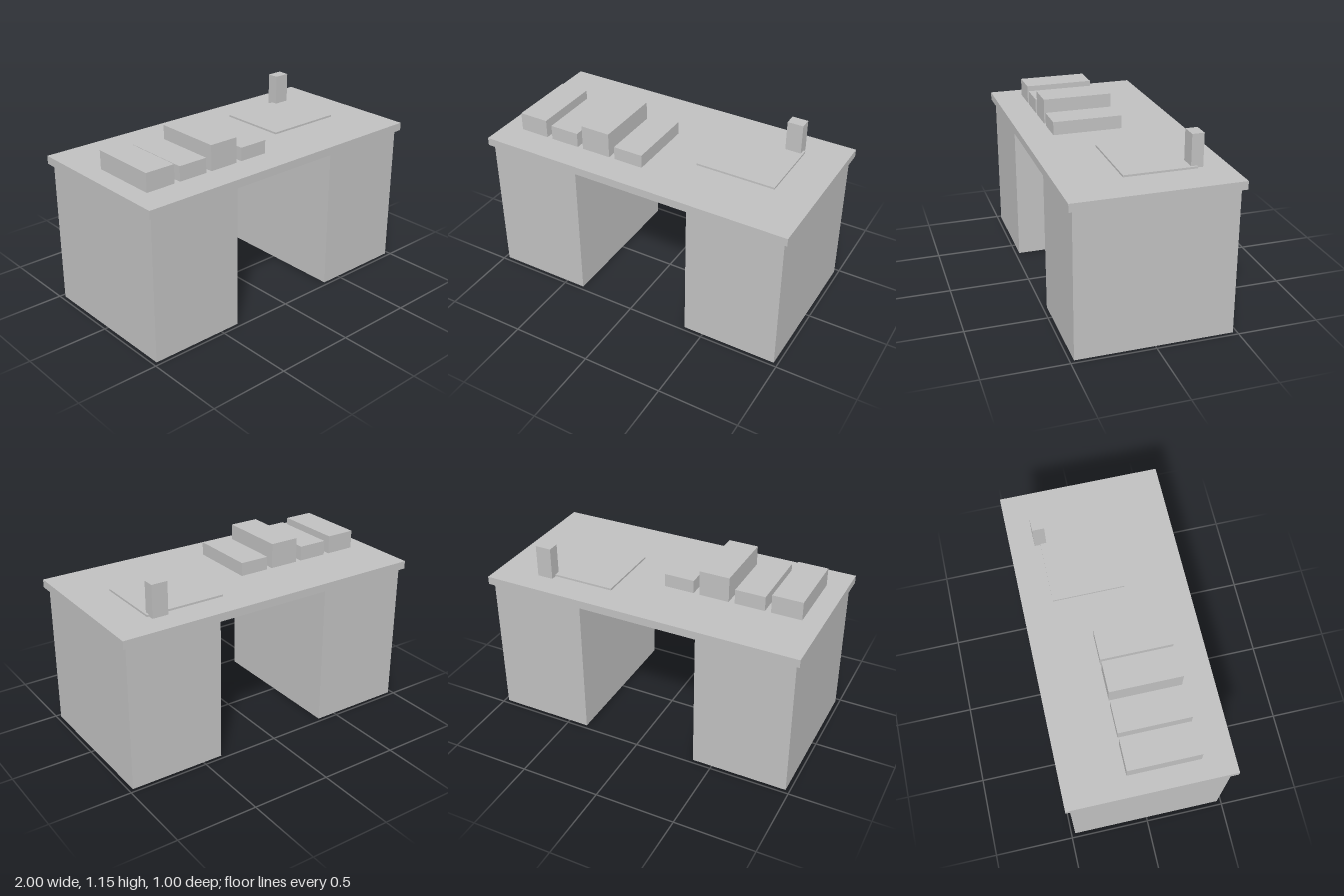
import * as THREE from 'three';

export function createModel() {
  const model = new THREE.Group();
  model.name = 'desk';
  const grey = new THREE.MeshStandardMaterial({ color: 0xc0c0c0 });
  grey.name = 'plain grey';

  // Box given by its size, centre in x and z, and the height of its base
  function addBox(name, [w, h, d], x, base, z) {
    const mesh = new THREE.Mesh(new THREE.BoxGeometry(w, h, d), grey);
    mesh.name = name;
    mesh.position.set(x, base + h / 2, z);
    model.add(mesh);
  }

  // Desk: two pedestals under a slightly overhanging top
  const pedestalHeight = 0.9, topThickness = 0.05;
  const surface = pedestalHeight + topThickness;
  addBox('leftPedestal', [0.6, pedestalHeight, 0.95], 0.675, 0, 0);
  addBox('rightPedestal', [0.6, pedestalHeight, 0.95], -0.675, 0, 0);
  addBox('deskTop', [2, topThickness, 1], 0, pedestalHeight, 0);

  // Row of four stacks of differing height
  [0.115, 0.092, 0.157, 0.083].forEach((height, i) => {
    addBox(`stack${i + 1}`, [0.1875, height, 0.435], -0.783 + i * 0.225, surface, 0.093);
  });

  // Desk pad with an upright holder at its back corner
  addBox('deskPad', [0.5, 0.012, 0.4375], 0.5, surface, -0.094);
  addBox('penHolder', [0.1, 0.2, 0.073], 0.686, surface, -0.313);

  return model;
}
